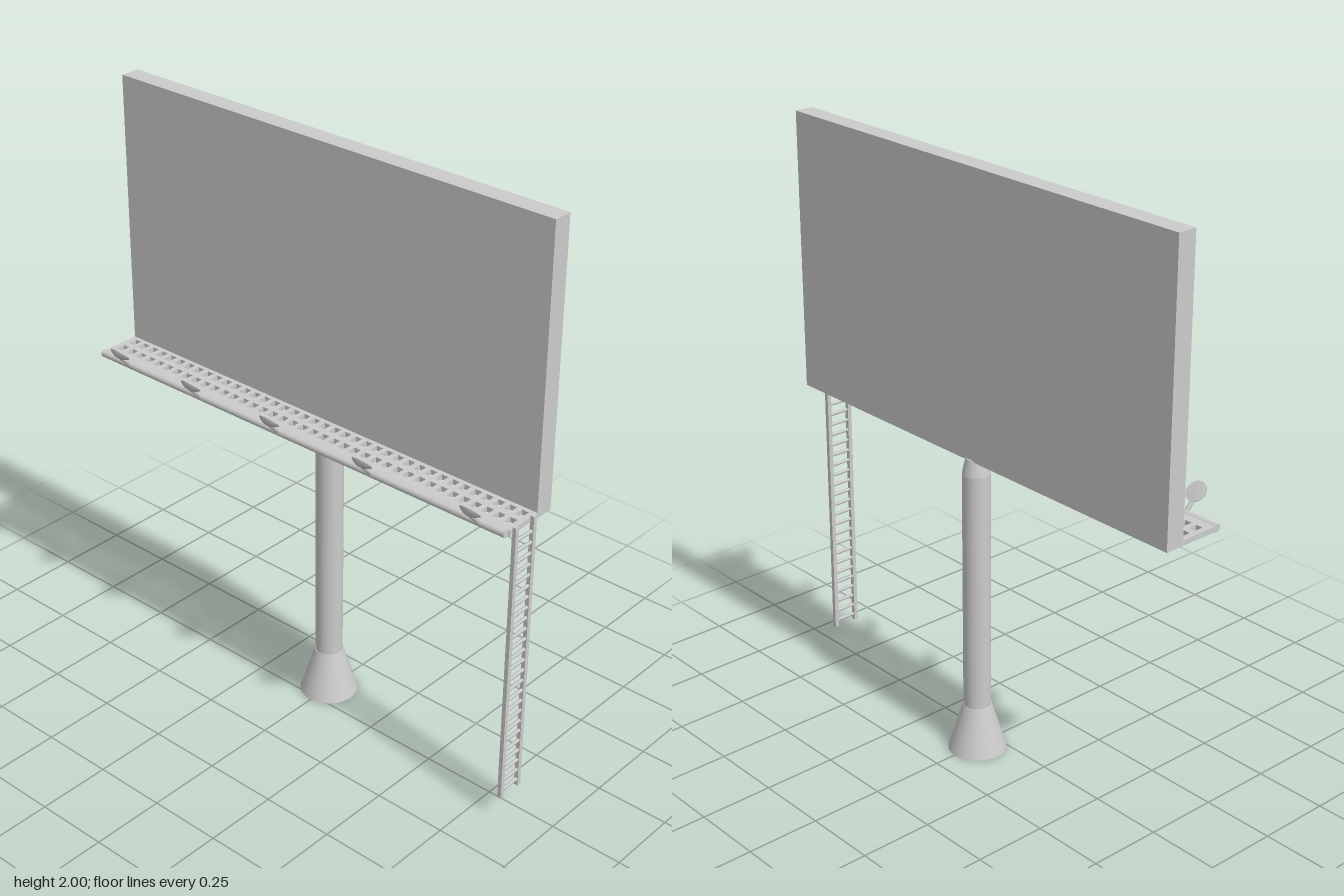
import * as THREE from 'three';

const mat = new THREE.MeshStandardMaterial({ color: 0xcccccc, side: THREE.DoubleSide });

function add(parent, name, geometry, x = 0, y = 0, z = 0) {
  const mesh = new THREE.Mesh(geometry, mat);
  mesh.name = name;
  mesh.position.set(x, y, z);
  parent.add(mesh);
  return mesh;
}

// Round bar between two points
function bar(parent, name, a, b, r, sides = 12) {
  const dir = b.clone().sub(a);
  const mesh = add(parent, name, new THREE.CylinderGeometry(r, r, dir.length(), sides));
  mesh.position.copy(a).addScaledVector(dir, 0.5);
  mesh.quaternion.setFromUnitVectors(new THREE.Vector3(0, 1, 0), dir.normalize());
  return mesh;
}

const V = (x, y, z) => new THREE.Vector3(x, y, z);
const LEFT = 0.84, RIGHT = -0.858, MID = (LEFT + RIGHT) / 2, LEN = LEFT - RIGHT;

// Walkway plate with two rows of square holes
function walkwayGeometry() {
  const back = -0.04, front = 0.095, count = 39, w = 0.025;
  const shape = new THREE.Shape();
  shape.moveTo(RIGHT, back).lineTo(LEFT, back).lineTo(LEFT, front).lineTo(RIGHT, front).closePath();
  for (const [z0, z1] of [[-0.023, 0.01], [0.032, 0.063]]) {
    for (let i = 0; i < count; i++) {
      const x = RIGHT + 0.032 + i * (LEN - 0.064) / (count - 1) - w / 2;
      const hole = new THREE.Path();
      hole.moveTo(x, z0).lineTo(x, z1).lineTo(x + w, z1).lineTo(x + w, z0).closePath();
      shape.holes.push(hole);
    }
  }
  const g = new THREE.ExtrudeGeometry(shape, { depth: 0.018, bevelEnabled: false });
  return g.rotateX(Math.PI / 2);
}

export function createModel() {
  const model = new THREE.Group();
  model.name = 'billboard';

  // Post: flared foot, shaft and tapered cap
  const post = new THREE.Group();
  post.name = 'post';
  post.position.set(-0.004, 0, -0.076);
  model.add(post);
  add(post, 'foot', new THREE.CylinderGeometry(0.048, 0.098, 0.165, 32), 0, 0.0825, 0);
  add(post, 'shaft', new THREE.CylinderGeometry(0.046, 0.046, 0.835, 32), 0, 0.5825, 0);
  add(post, 'cap', new THREE.CylinderGeometry(0.034, 0.046, 0.055, 32), 0, 1.0275, 0);

  // Display panel
  add(model, 'panel', new THREE.BoxGeometry(LEN, 0.95, 0.066), MID, 1.525, -0.071);

  // Walkway and its front rail
  add(model, 'walkway', walkwayGeometry(), 0, 1.069, 0);
  bar(model, 'walkwayRail', V(RIGHT, 1.061, 0.105), V(LEFT - 0.004, 1.061, 0.105), 0.013, 16);

  // Lamps: shallow dish tilted toward the panel on a short stem
  const dish = new THREE.LatheGeometry([
    [0, -0.014], [0.012, -0.013], [0.024, -0.008], [0.035, 0], [0.035, 0.003], [0, 0.003],
  ].map(([r, y]) => new THREE.Vector2(r, y)), 20);
  for (const x of [-0.728, -0.4, -0.056, 0.325, 0.736]) {
    const lamp = new THREE.Group();
    lamp.name = 'lamp';
    lamp.position.x = x;
    model.add(lamp);
    const head = add(lamp, 'lampHead', dish, 0, 1.118, 0.152);
    head.rotation.x = -Math.PI / 4;
    bar(lamp, 'lampStem', V(0, 1.061, 0.108), V(0, 1.108, 0.152), 0.007, 8);
  }

  // Ladder at the left end
  const ladder = new THREE.Group();
  ladder.name = 'ladder';
  ladder.position.x = 0.846;
  model.add(ladder);
  const zs = [0.074, -0.012];
  for (const z of zs) add(ladder, 'ladderRail', new THREE.BoxGeometry(0.014, 0.995, 0.015), 0, 0.5775, z);
  for (let i = 0; i < 25; i++) {
    const y = 0.103 + i * 0.0384;
    bar(ladder, 'rung', V(0, y, zs[0]), V(0, y, zs[1]), 0.006, 8);
  }
  return model;
}
